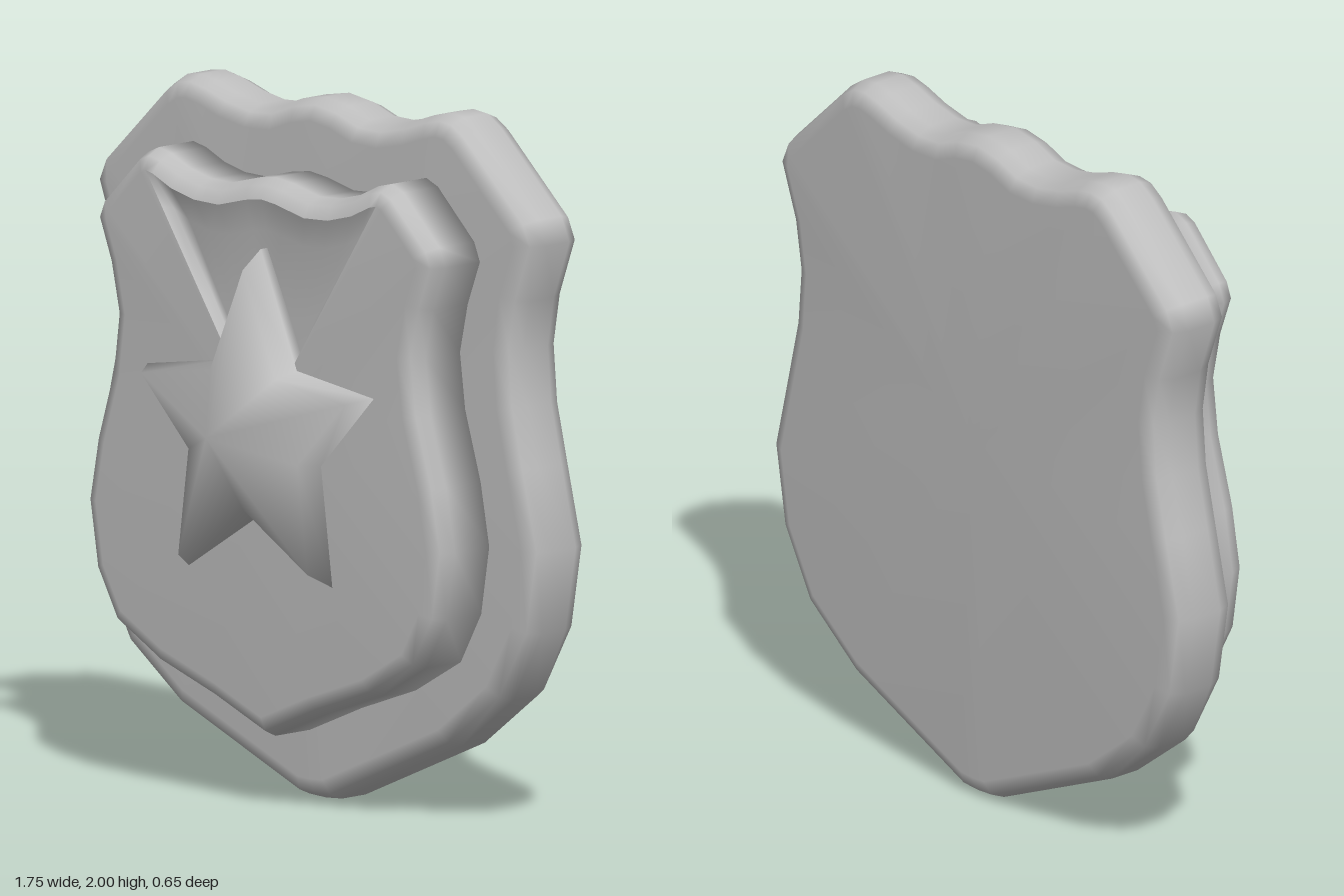
import * as THREE from 'three';

const CENTRE = [0, 1.08];

// Half outlines, clockwise from the top centre to the bottom centre
const OUTER = [[0, 1.99], [0.09, 1.975], [0.17, 1.945], [0.25, 1.942], [0.34, 1.96], [0.42, 1.987], [0.48, 2],
  [0.535, 1.993], [0.585, 1.96], [0.82, 1.735], [0.85, 1.665], [0.79, 1.5], [0.767, 1.36], [0.78, 1.2],
  [0.82, 1.03], [0.875, 0.8], [0.835, 0.56], [0.725, 0.36], [0.524, 0.205], [0.063, 0.004], [0, 0]];
const INNER = [[0, 1.787], [0.07, 1.777], [0.17, 1.752], [0.25, 1.755], [0.33, 1.775], [0.4, 1.808], [0.45, 1.82],
  [0.495, 1.8], [0.635, 1.66], [0.657, 1.605], [0.61, 1.48], [0.58, 1.34], [0.6, 1.18],
  [0.66, 0.98], [0.693, 0.8], [0.662, 0.605], [0.583, 0.46], [0.41, 0.36], [0.2, 0.285], [0, 0.2]];
const STAR = [[0, 1.59], [0.14, 1.26], [0.437, 1.215], [0.233, 1], [0.277, 0.66], [0, 0.835]];

// Complete a half outline with its mirror image
const mirror = (half) => [...half, ...half.slice(1, -1).reverse().map(([x, y]) => [-x, y])];

// Move a clockwise outline inwards by an even distance
function inset(pts, amount) {
  const n = pts.length;
  const normal = (a, b) => {
    const dx = b[0] - a[0], dy = b[1] - a[1], l = Math.hypot(dx, dy);
    return [dy / l, -dx / l];
  };
  return pts.map((p, i) => {
    const u = normal(pts[(i + n - 1) % n], p), v = normal(p, pts[(i + 1) % n]);
    const k = amount / (1 + u[0] * v[0] + u[1] * v[1]);
    return [p[0] + (u[0] + v[0]) * k, p[1] + (u[1] + v[1]) * k];
  });
}

const scaleAbout = (pts, s) => pts.map(([x, y]) => [CENTRE[0] + (x - CENTRE[0]) * s, CENTRE[1] + (y - CENTRE[1]) * s]);
const atDepth = (pts, z) => pts.map(([x, y]) => [x, y, z]);

function build(points, index) {
  const g = new THREE.BufferGeometry();
  g.setAttribute('position', new THREE.Float32BufferAttribute(points.flat(), 3));
  g.setIndex(index);
  g.computeVertexNormals();
  return g;
}

// Join rings from back to front, closing the ends with fans around the centre
function loft(rings, backZ, frontZ, skip = () => false) {
  const n = rings[0].length, points = rings.flat(), index = [];
  const last = (rings.length - 1) * n, back = points.length, front = back + 1;
  points.push([...CENTRE, backZ], [...CENTRE, frontZ]);
  for (let i = 0; i < n; i++) {
    const j = (i + 1) % n;
    for (let r = 0; r < last; r += n) {
      index.push(r + i, r + n + i, r + j, r + j, r + n + i, r + n + j);
    }
    index.push(back, i, j);
    if (!skip(i, n)) index.push(front, last + j, last + i);
  }
  return build(points, index);
}

export function createModel() {
  const group = new THREE.Group();
  const metal = new THREE.MeshStandardMaterial({ color: 0xbfbfbf });
  metal.name = 'plain grey metal';
  const add = (name, geometry) => {
    const mesh = new THREE.Mesh(geometry, metal);
    mesh.name = name;
    group.add(mesh);
  };

  // Back plate, rounded on both faces
  const outer = mirror(OUTER);
  add('backShield', loft([[0.06, -0.323], [0.018, -0.303], [0, -0.26], [0, -0.165], [0.018, -0.12], [0.06, -0.1]]
    .map(([d, z]) => atDepth(inset(outer, d), z)), -0.323, -0.1));

  // Front plate, rounded on its front face only; the top of its face is left open
  const inner = mirror(INNER);
  const corner = 6;
  add('frontShield', loft([[0, -0.102], [0, 0.04], [0.018, 0.082], [0.055, 0.1]]
    .map(([d, z]) => atDepth(inset(inner, d), z)), -0.102, 0.1, (i, n) => i < corner || i >= n - corner));

  // Shallow hollow between the two top corners
  const rim = inset(inner, 0.055);
  const arc = [...rim.slice(-corner), ...rim.slice(0, corner + 1)];
  const rows = [[1, 0.1], [0.86, 0.075], [0.5, 0.066], [0.08, 0.066]];
  const points = rows.flatMap(([s, z]) => scaleAbout(arc, s)
    .map(([x, y], i) => [x, y, i === 0 || i === arc.length - 1 ? 0.1 : z]));
  const index = [];
  for (let r = 0; r < rows.length - 1; r++) {
    for (let i = 0; i < arc.length - 1; i++) {
      const a = r * arc.length + i, c = a + arc.length;
      index.push(a, c, a + 1, a + 1, c, c + 1);
    }
  }
  add('topHollow', build(points, index));

  // Pointed star with a bevelled edge
  const star = mirror(STAR);
  add('star', loft([
    atDepth(star, 0.04), atDepth(star, 0.1), atDepth(scaleAbout(star, 0.9), 0.173),
  ], 0.04, 0.323));

  return group;
}
